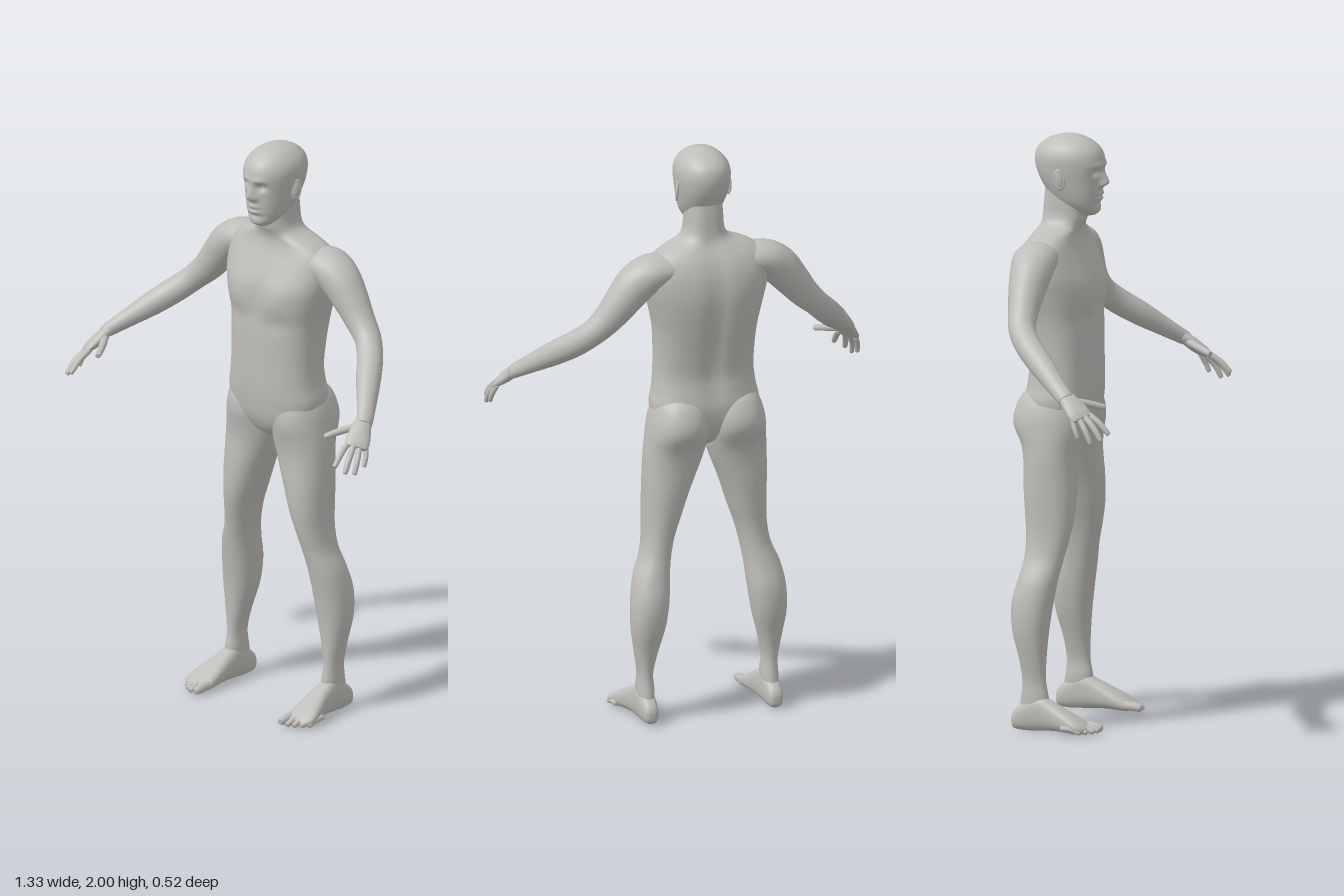
import * as THREE from 'three';

const V = (x, y, z) => new THREE.Vector3(x, y, z);
const bell = (d, s) => Math.exp(-(d * d) / (s * s));

// Catmull-Rom interpolation of every column in a table of cross-sections
function smooth(rows, n) {
  const out = [], last = rows.length - 1;
  for (let k = 0; k <= last * n; k++) {
    const i = Math.min(Math.floor(k / n), last - 1), t = k / n - i;
    const a = rows[Math.max(i - 1, 0)], b = rows[i], c = rows[i + 1], d = rows[Math.min(i + 2, last)];
    out.push(b.map((_, j) => 0.5 * (2 * b[j] + (c[j] - a[j]) * t
      + (2 * a[j] - 5 * b[j] + 4 * c[j] - d[j]) * t * t
      + (3 * b[j] - a[j] - 3 * c[j] + d[j]) * t * t * t)));
  }
  return out;
}

// Turns all faces outward, judged by the signed volume
function orient(geo) {
  const p = geo.attributes.position, ix = Array.from(geo.index.array);
  const a = V(), b = V(), c = V();
  let vol = 0;
  for (let i = 0; i < ix.length; i += 3) {
    a.fromBufferAttribute(p, ix[i]);
    b.fromBufferAttribute(p, ix[i + 1]);
    c.fromBufferAttribute(p, ix[i + 2]);
    vol += a.dot(b.cross(c));
  }
  if (vol < 0) for (let i = 0; i < ix.length; i += 3) [ix[i], ix[i + 1]] = [ix[i + 1], ix[i]];
  geo.setIndex(ix);
  geo.computeVertexNormals();
  return geo;
}

// Skin over closed rings of points, with capped ends and an optional vertex rule
function loft(rings, rule) {
  const n = rings[0].length, pts = rings.flat(), ix = [];
  for (let r = 0; r < rings.length - 1; r++) for (let i = 0; i < n; i++) {
    const a = r * n + i, b = r * n + (i + 1) % n;
    ix.push(a, b, a + n, b, b + n, a + n);
  }
  const mid = ring => ring.reduce((s, p) => s.add(p), V(0, 0, 0)).divideScalar(n);
  const e = (rings.length - 1) * n, c = pts.length;
  pts.push(mid(rings[0]), mid(rings[rings.length - 1]));
  for (let i = 0; i < n; i++) {
    const j = (i + 1) % n;
    ix.push(j, i, c, e + i, e + j, c + 1);
  }
  if (rule) pts.forEach(rule);
  const geo = new THREE.BufferGeometry().setFromPoints(pts);
  geo.setIndex(ix);
  return orient(geo);
}

// Rounded-box outline in unit coordinates; p below 1 is squarer than an ellipse
function outline(n, p, make) {
  const pw = v => Math.sign(v) * Math.abs(v) ** p;
  return Array.from({ length: n }, (_, i) => {
    const a = (i / n) * Math.PI * 2;
    return make(pw(Math.cos(a)), pw(Math.sin(a)));
  });
}

// Upright body: rows are [y, xMin, xMax, zFront, zBack]
const column = (rows, n, p, steps, rule) => loft(smooth(rows, steps).map(([y, x0, x1, zf, zb]) =>
  outline(n, p, (u, v) => V((x0 + x1) / 2 + u * (x1 - x0) / 2, y, (zf + zb) / 2 + v * (zf - zb) / 2))), rule);

// Limb along a path: rows are [x, y, z, radiusAcross, radiusAlongRef]
function limb(rows, n, steps, ref = V(0, 0, 1)) {
  const s = smooth(rows, steps), at = i => V(...s[Math.min(Math.max(i, 0), s.length - 1)]);
  return loft(s.map((r, i) => {
    const t = at(i + 1).sub(at(i - 1)).normalize();
    const a = V().crossVectors(t, ref).normalize(), b = V().crossVectors(a, t);
    return outline(n, 1, (u, v) => at(i).addScaledVector(a, u * r[3]).addScaledVector(b, v * r[4]));
  }));
}

// Finger or toe with a rounded tip
function digit(a, m, b, r) {
  const tip = b.map((v, i) => v + (b[i] - m[i]) * 0.1);
  return limb([[...a, r, r], [...m, r, r], [...b, r * 0.82, r * 0.82], [...tip, r * 0.4, r * 0.4]], 10, 4, V(0.3, 1, 0.1));
}

const symmetric = rows => rows.map(([y, w, zf, zb]) => [y, -w, w, zf, zb]);

export function createModel() {
  const model = new THREE.Group();
  const grey = new THREE.MeshStandardMaterial({ color: 0xbfbdb9 });
  grey.name = 'warm grey';

  const add = (name, geo) => {
    const mesh = new THREE.Mesh(geo, grey);
    mesh.name = name;
    model.add(mesh);
  };
  const pair = (name, geo) => {
    add('left' + name, geo);
    add('right' + name, orient(geo.clone().scale(-1, 1, 1)));
  };

  // Torso and neck, with breastbone, chest and spine relief
  add('torso', column(symmetric([
    [0.955, 0.03, -0.07, -0.15], [0.98, 0.08, -0.04, -0.19], [1.03, 0.165, -0.015, -0.222],
    [1.1, 0.188, -0.004, -0.235], [1.16, 0.178, 0, -0.228], [1.22, 0.172, 0, -0.222],
    [1.3, 0.173, 0, -0.234], [1.38, 0.179, 0, -0.25], [1.46, 0.196, 0, -0.262],
    [1.52, 0.21, -0.006, -0.264], [1.58, 0.215, -0.03, -0.255], [1.63, 0.203, -0.052, -0.235],
    [1.665, 0.155, -0.06, -0.212], [1.69, 0.09, -0.055, -0.198], [1.72, 0.067, -0.043, -0.192],
    [1.78, 0.062, -0.04, -0.187], [1.84, 0.058, -0.05, -0.18],
  ]), 64, 0.8, 4, p => {
    if (p.z < -0.12) p.z += 0.016 * bell(p.x, 0.03) * bell(p.y - 1.38, 0.25);
    else {
      p.z += 0.01 * bell(Math.abs(p.x) - 0.09, 0.07) * bell(p.y - 1.47, 0.06);
      p.z -= 0.01 * bell(p.x, 0.025) * bell(p.y - 1.47, 0.1);
      p.z -= 0.006 * bell(p.y - 1.39, 0.025) * bell(Math.abs(p.x) - 0.09, 0.06);
    }
  }));

  // Head, with eye sockets, nose, lips and chin pushed out of the skin
  add('head', column(symmetric([
    [1.727, 0.025, -0.012, -0.06], [1.74, 0.042, 0.004, -0.09], [1.765, 0.062, 0.006, -0.135],
    [1.8, 0.075, 0.01, -0.172], [1.85, 0.086, 0.013, -0.203], [1.89, 0.091, 0.019, -0.217],
    [1.925, 0.091, 0.017, -0.219], [1.955, 0.08, 0.002, -0.208], [1.98, 0.057, -0.03, -0.178],
    [1.994, 0.03, -0.063, -0.14], [2.0, 0.006, -0.09, -0.11],
  ]), 96, 0.93, 7, p => {
    if (p.z < -0.06) return;
    const x = Math.abs(p.x), y = p.y;
    const ridge = y > 1.838 ? bell(y - 1.838, 0.034) : bell(y - 1.838, 0.013);
    p.z += 0.027 * ridge * bell(x, 0.013);
    p.z += 0.01 * bell(x - 0.015, 0.008) * bell(y - 1.833, 0.01);
    p.z -= 0.015 * bell(x - 0.034, 0.017) * bell(y - 1.876, 0.013);
    p.z += 0.006 * bell(x - 0.03, 0.025) * bell(y - 1.9, 0.01);
    p.z += 0.009 * bell(x, 0.024) * (bell(y - 1.801, 0.008) + bell(y - 1.783, 0.008));
    p.z -= 0.007 * bell(x, 0.026) * bell(y - 1.792, 0.004);
    p.z -= 0.005 * bell(x, 0.03) * bell(y - 1.768, 0.008);
  }));

  // Eyes
  const eye = new THREE.SphereGeometry(0.012, 16, 10);
  eye.scale(1.1, 0.65, 0.7).translate(0.034, 1.876, -0.011);
  pair('Eye', eye);

  // Ears: a shell with a raised rim
  const placeEar = g => g.rotateY(Math.PI / 2 - 0.3).rotateX(-0.15).translate(0.091, 1.854, -0.107);
  pair('EarShell', placeEar(new THREE.SphereGeometry(1, 16, 12).scale(0.015, 0.031, 0.007)));
  pair('EarRim', placeEar(new THREE.TorusGeometry(0.015, 0.0042, 8, 24).scale(1, 1.95, 1)));

  // Arms, shoulder to wrist
  pair('Arm', limb([
    [0.12, 1.605, -0.155, 0.045, 0.07], [0.2, 1.597, -0.153, 0.06, 0.077], [0.255, 1.56, -0.15, 0.067, 0.071],
    [0.305, 1.502, -0.148, 0.06, 0.061], [0.352, 1.445, -0.142, 0.051, 0.051], [0.402, 1.396, -0.128, 0.044, 0.046],
    [0.45, 1.35, -0.088, 0.044, 0.044], [0.5, 1.303, -0.028, 0.041, 0.042], [0.555, 1.252, 0.038, 0.031, 0.034],
    [0.592, 1.217, 0.085, 0.024, 0.029], [0.602, 1.206, 0.099, 0.02, 0.027],
  ], 28, 4));

  // Hands
  pair('Palm', limb([
    [0.585, 1.222, 0.076, 0.018, 0.022], [0.596, 1.208, 0.1, 0.02, 0.03], [0.609, 1.184, 0.128, 0.02, 0.038],
    [0.622, 1.164, 0.152, 0.016, 0.041], [0.63, 1.15, 0.168, 0.009, 0.036],
  ], 24, 4, V(0.7, -0.17, -0.7)));
  [
    ['Thumb', [0.585, 1.2, 0.112], [0.552, 1.188, 0.162], [0.528, 1.175, 0.207], 0.0125],
    ['IndexFinger', [0.6, 1.165, 0.173], [0.607, 1.137, 0.216], [0.611, 1.103, 0.25], 0.0105],
    ['MiddleFinger', [0.62, 1.157, 0.17], [0.637, 1.12, 0.211], [0.644, 1.085, 0.235], 0.0105],
    ['RingFinger', [0.633, 1.152, 0.155], [0.651, 1.112, 0.185], [0.656, 1.075, 0.203], 0.01],
    ['LittleFinger', [0.643, 1.152, 0.134], [0.656, 1.117, 0.149], [0.659, 1.09, 0.16], 0.009],
  ].forEach(([name, a, m, b, r]) => pair(name, digit(a, m, b, r)));

  // Legs, buttock to ankle
  pair('Leg', column([
    [1.15, 0.05, 0.15, -0.06, -0.2], [1.12, 0.015, 0.178, -0.035, -0.234], [1.07, 0.001, 0.196, -0.018, -0.256],
    [1.02, 0, 0.205, -0.016, -0.257], [0.96, 0.004, 0.212, -0.028, -0.228], [0.9, 0.022, 0.216, -0.033, -0.216],
    [0.81, 0.058, 0.217, -0.03, -0.211], [0.72, 0.088, 0.216, -0.033, -0.202], [0.65, 0.112, 0.218, -0.045, -0.195],
    [0.58, 0.128, 0.23, -0.062, -0.197], [0.51, 0.138, 0.258, -0.076, -0.212], [0.43, 0.145, 0.273, -0.09, -0.23],
    [0.34, 0.158, 0.275, -0.102, -0.225], [0.25, 0.181, 0.262, -0.108, -0.202], [0.17, 0.198, 0.249, -0.108, -0.19],
    [0.11, 0.194, 0.251, -0.098, -0.195], [0.05, 0.198, 0.25, -0.1, -0.205],
  ], 36, 0.9, 4));

  // Feet: sections run from heel to ball
  const foot = smooth([
    [-0.227, 0.214, 0.234, 0.02, 0.045], [-0.217, 0.2, 0.247, 0.005, 0.068], [-0.18, 0.193, 0.254, 0, 0.1],
    [-0.13, 0.191, 0.257, 0.001, 0.122], [-0.08, 0.187, 0.264, 0.004, 0.1], [-0.03, 0.182, 0.28, 0.003, 0.074],
    [0.01, 0.18, 0.291, 0, 0.052], [0.035, 0.182, 0.285, 0.002, 0.036], [0.05, 0.19, 0.265, 0.006, 0.026],
  ], 4).map(([z, x0, x1, y0, y1]) => outline(32, 0.8, (u, v) =>
    V((x0 + x1) / 2 + u * (x1 - x0) / 2, (y0 + y1) / 2 + v * (y1 - y0) / 2, z)));
  pair('Foot', loft(foot));
  const toes = [[0.197, 0.08, 0.0155], [0.225, 0.078, 0.011], [0.246, 0.067, 0.0105], [0.266, 0.05, 0.01], [0.282, 0.031, 0.0095]];
  toes.forEach(([x, z, r], i) =>
    pair('Toe' + (i + 1), digit([x, 0.024, z - 0.065], [x, 0.021, z - 0.03], [x, r + 0.001, z], r)));

  return model;
}
